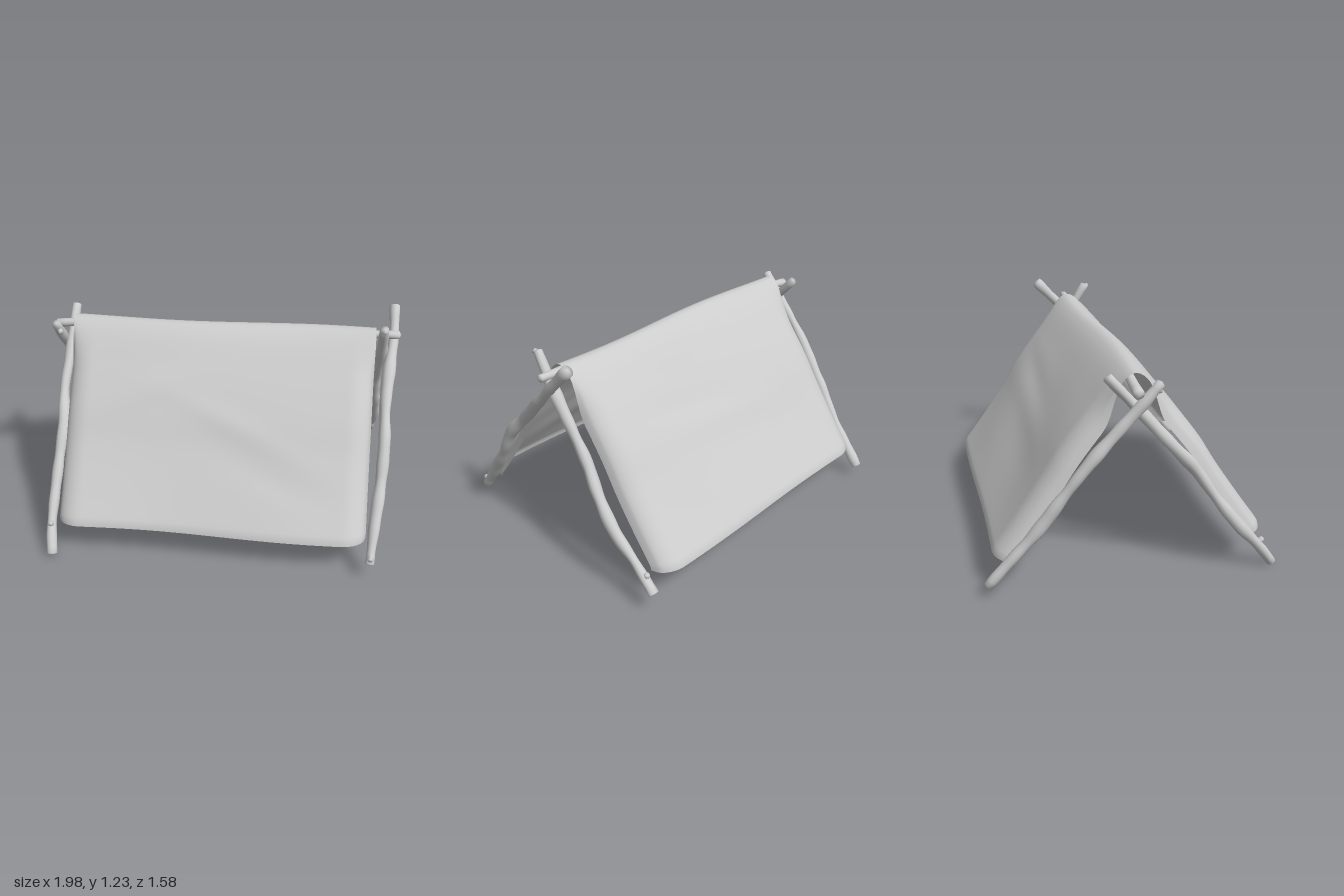
import * as THREE from 'three';
import { mergeVertices } from 'three/addons/utils/BufferGeometryUtils.js';

const V = (x, y, z) => new THREE.Vector3(x, y, z);
const mat = new THREE.MeshStandardMaterial({ color: 0xcccccc, roughness: 0.9 });
const clothMat = new THREE.MeshStandardMaterial({ color: 0xcccccc, roughness: 0.9, side: THREE.DoubleSide });

// Knobbly branch: a tube whose rings swell and shrink, with blunt closed ends
function branch(name, points, radius, seed = 0, segs = 60, sides = 12) {
  const curve = new THREE.CatmullRomCurve3(points.map(p => V(...p)));
  const geo = new THREE.TubeGeometry(curve, segs, 1, sides);
  const pos = geo.attributes.position, v = V(), c = V(), at = V();
  for (let i = 0; i <= segs; i++) {
    const cap = i === 0 || i === segs;
    // the rings beside each cap move outward to keep the end blunt
    let t = i / segs;
    if (i === 1) t = 0.35 / segs;
    if (i === segs - 1) t = 1 - 0.35 / segs;
    // slimmer toward the ends
    const taper = 0.9 + 0.16 * Math.sin(Math.PI * t);
    const r = radius * (taper + 0.08 * Math.sin(t * 23 + seed) + 0.05 * Math.sin(t * 51 + seed * 2));
    curve.getPointAt(i / segs, c);
    curve.getPointAt(t, at);
    for (let j = 0; j <= sides; j++) {
      const k = i * (sides + 1) + j;
      const lump = 1 + 0.07 * Math.sin((j / sides) * Math.PI * 4 + t * 14 + seed);
      v.fromBufferAttribute(pos, k).sub(c).multiplyScalar(cap ? 0 : r * lump).add(at);
      pos.setXYZ(k, v.x, v.y, v.z);
    }
  }
  geo.deleteAttribute('uv');
  geo.deleteAttribute('normal');
  const merged = mergeVertices(geo, 1e-5);
  merged.computeVertexNormals();
  const mesh = new THREE.Mesh(merged, mat);
  mesh.name = name;
  return mesh;
}

// Soft diagonal crease centred at (cx, cs)
const fold = (x, s, cx, cs, wx, ws, tilt) => {
  const dx = x - cx, ds = s - cs - tilt * dx;
  return Math.exp(-((dx / wx) ** 2) - (ds / ws) ** 2);
};

// Cloth draped over the ridge; side edges curl in beneath each slope
function cloth() {
  const half = [[0.742, 0.204], [0.61, 0.39], [0.47, 0.592], [0.37, 0.75], [0.215, 0.955], [0.065, 1.122]];
  const profile = new THREE.CatmullRomCurve3([
    ...half.map(([z, y]) => V(0, y, z)),
    V(0, 1.155, 0),
    ...half.slice().reverse().map(([z, y]) => V(0, y, -z)),
  ]);
  const nx = 80, ns = 100, curl = 0.135;
  const geo = new THREE.PlaneGeometry(2, 2, nx, ns);
  const pos = geo.attributes.position, p = V();
  for (let i = 0; i < pos.count; i++) {
    const u = pos.getX(i), s = pos.getY(i);           // s: +1 back hem, -1 front hem
    // columns bunch toward the side edges so the curl stays round
    const w = Math.sin(u * Math.PI / 2) * 0.5 + u * 0.5;
    const x = -0.01 + w * 0.855;
    const e = Math.max(0, Math.abs(w) * 0.855 - (0.855 - curl)) / curl;
    const round = 1 - Math.sqrt(Math.max(0, 1 - e * e));
    const down = Math.abs(s), side = -Math.sign(s);
    // rounded hem corners, then the curl along the inward normal of the slope
    profile.getPointAt((s * (1 - 0.045 * round * down ** 8) + 1) / 2, p);
    const hem = Math.max(0, (down - 0.97) / 0.03);
    const sag = 0.007 * (1 + Math.sin(x * 5 + down * 4)) * Math.sin(Math.PI * down);
    const tuck = 0.095 * round * THREE.MathUtils.smoothstep(down, 0.03, 0.3) + sag + 0.012 * hem * hem;
    let z = p.z - side * 0.8 * tuck;
    let y = p.y - 0.55 * tuck;
    // waver of the ridge and hems, then a few soft creases
    z += (1 - down) ** 2 * (0.018 * Math.sin(-x * 4 + 0.6) + 0.006);
    z += side * down * (side > 0 ? 0.014 : 0.007) * Math.sin(x * 3.8 - 0.2);
    const crease = s < 0
      ? fold(x, down, 0.1, 0.5, 0.35, 0.06, 0.35) - fold(x, down, 0.3, 0.72, 0.3, 0.08, 0.3)
        + fold(x, down, -0.4, 0.35, 0.25, 0.08, -0.3)
      : fold(x, down, -0.2, 0.55, 0.4, 0.08, -0.1) - fold(x, down, 0.25, 0.4, 0.35, 0.06, -0.15);
    z += side * 0.006 * crease;
    y += 0.004 * crease;
    pos.setXYZ(i, x, y, z);
  }
  geo.computeVertexNormals();
  const mesh = new THREE.Mesh(geo, clothMat);
  mesh.name = 'cloth';
  return mesh;
}

export function createModel() {
  const group = new THREE.Group();
  group.name = 'tent';
  group.add(cloth());

  // Ridge pole under the cloth
  group.add(branch('ridgePole', [
    [-0.997, 1.085, -0.025], [-0.85, 1.1, -0.02], [-0.6, 1.115, -0.005], [-0.25, 1.115, 0.015],
    [0.3, 1.115, -0.005], [0.7, 1.12, 0], [0.985, 1.122, 0],
  ], 0.026, 1));

  // Crossed end poles, listed from foot to tip
  group.add(branch('frontLeftPole', [
    [-0.887, 0.018, 0.772], [-0.905, 0.14, 0.68], [-0.91, 0.29, 0.55], [-0.905, 0.46, 0.42], [-0.895, 0.62, 0.31],
    [-0.915, 0.77, 0.18], [-0.905, 0.96, 0.015], [-0.903, 1.16, -0.165],
  ], 0.03, 2));
  group.add(branch('frontRightPole', [
    [0.87, 0.098, 0.755], [0.885, 0.26, 0.63], [0.91, 0.46, 0.48], [0.918, 0.65, 0.365], [0.915, 0.79, 0.23],
    [0.93, 0.95, 0.08], [0.95, 1.09, -0.06], [0.948, 1.225, -0.19],
  ], 0.031, 4));
  group.add(branch('backLeftPole', [
    [-0.868, 0.07, -0.773], [-0.88, 0.215, -0.65], [-0.9, 0.38, -0.51], [-0.92, 0.55, -0.39], [-0.94, 0.74, -0.25],
    [-0.95, 0.9, -0.11], [-0.955, 1.02, 0.0], [-0.96, 1.135, 0.095],
  ], 0.03, 6));
  group.add(branch('backRightPole', [
    [0.908, 0.115, -0.712], [0.897, 0.24, -0.56], [0.905, 0.36, -0.43], [0.897, 0.525, -0.305], [0.878, 0.67, -0.21],
    [0.882, 0.83, -0.11], [0.885, 1.0, 0.0], [0.88, 1.21, 0.13],
  ], 0.03, 8));

  // Short twig stubs
  const stubs = [
    [[-0.905, 0.15, 0.66], [-0.905, 0.185, 0.705]],
    [[0.875, 0.15, 0.72], [0.87, 0.14, 0.77]],
    [[0.895, 0.24, -0.56], [0.885, 0.19, -0.575]],
    [[0.9, 0.18, -0.64], [0.9, 0.215, -0.655]],
    [[-0.87, 0.11, -0.72], [-0.875, 0.145, -0.745]],
    [[0.88, 1.18, 0.1], [0.885, 1.2, 0.15]],
    [[-0.96, 1.09, 0.06], [-0.93, 1.08, 0.1]],
  ];
  stubs.forEach(([a, b], i) => group.add(branch('twigStub', [a, b], 0.015, i, 8, 8)));
  return group;
}
